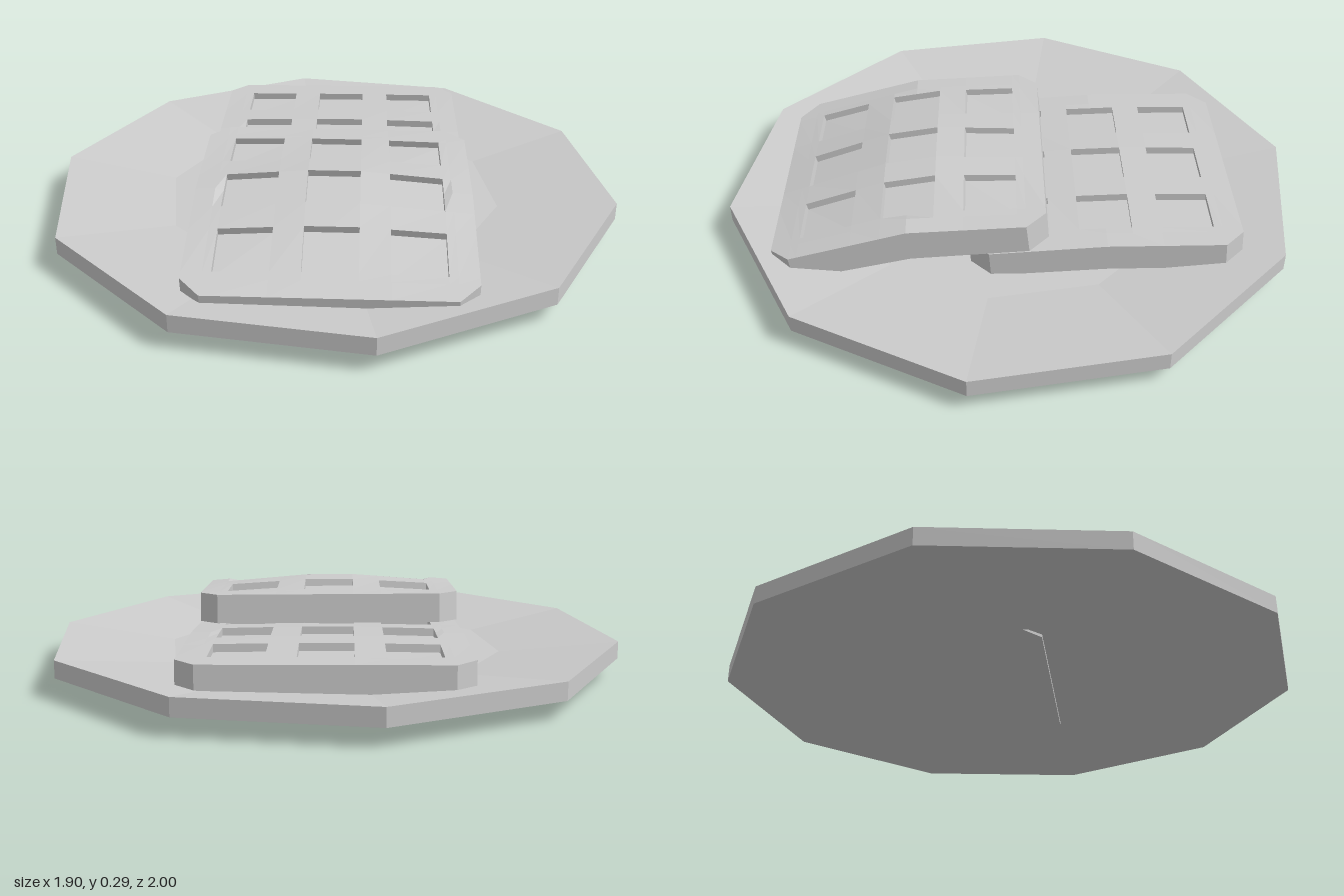
import * as THREE from 'three';

const material = new THREE.MeshStandardMaterial({ color: 0xcccccc, flatShading: true });
const plateMaterial = material.clone();
plateMaterial.side = THREE.DoubleSide;

// Ten-sided shallow plate with a sunken middle, its underside open inside the foot
function makePlate() {
  const profile = [[0.592, 0], [1, 0.06], [1, 0.12], [0.592, 0.07], [0, 0.07]]
    .map(([r, y]) => new THREE.Vector2(r, y));
  const plate = new THREE.Mesh(new THREE.LatheGeometry(profile, 10), plateMaterial);
  plate.name = 'plate';
  return plate;
}

// Height along the length, from three values: start, middle, end
const bend = (h, u) => u < 0
  ? h[1] + (h[0] - h[1]) * (-u / 0.4535)
  : h[1] + (h[2] - h[1]) * (u / 0.4535);

// Falls from 1 across the middle pocket to 0 at the edge
const swell = (t) => 1 - Math.max(0, Math.abs(t) - 0.0875) / 0.366;

// Square waffle slab with clipped corners and nine pockets, bent along its length
function makeWaffle(name, centreU, { top, bottom, bump, tilt, depth, shear }) {
  const cuts = [-0.4535, -0.3875, -0.3595, -0.1845, -0.0875, 0, 0.0875, 0.1845, 0.3595, 0.3875, 0.4535];
  const n = cuts.length - 1;
  const pocketRows = [2, 4, 5, 7];
  const isPocket = (i, j) => pocketRows.includes(i) && pocketRows.includes(j);
  const positions = [];

  // Top height: the middle row of pockets stays flat, only the rim keeps the sharp bend
  const topHeight = (u, v) => {
    const flat = u === 0 && Math.abs(v) < 0.37;
    const base = flat ? (bend(top, -0.0875) + bend(top, 0.0875)) / 2 : bend(top, u);
    return base + bump * swell(u) * swell(v);
  };

  // level: 0 = top surface, 1 = pocket floor, 2 = underside
  const point = (i, j, level) => {
    const u = cuts[i], v = cuts[j];
    const y = level === 2 ? bend(bottom, u) : topHeight(u, v) - level * depth;
    return [u + shear * level / 2, y + tilt * v, v];
  };
  const face = (...p) => {
    for (let k = 1; k < p.length - 1; k++) positions.push(...p[0], ...p[k], ...p[k + 1]);
  };
  // Vertical wall along a-b, from the given lower level up to the top surface
  const wall = (a, b, low) =>
    face(point(...a, low), point(...b, low), point(...b, 0), point(...a, 0));

  for (let i = 0; i < n; i++) {
    for (let j = 0; j < n; j++) {
      // Cell corners, anticlockwise seen from above; clipped at the slab's corners
      let c = [[i, j], [i, j + 1], [i + 1, j + 1], [i + 1, j]];
      if ((i === 0 || i === n - 1) && (j === 0 || j === n - 1)) {
        c = c.filter(([a, b]) => !((a === 0 || a === n) && (b === 0 || b === n)));
      }
      const pocket = isPocket(i, j);
      face(...c.map((p) => point(...p, pocket ? 1 : 0)));
      face(...c.map((p) => point(...p, 2)).reverse());

      // Pocket walls face inwards
      if (pocket) {
        if (!isPocket(i - 1, j)) wall([i, j + 1], [i, j], 1);
        if (!isPocket(i + 1, j)) wall([i + 1, j], [i + 1, j + 1], 1);
        if (!isPocket(i, j - 1)) wall([i, j], [i + 1, j], 1);
        if (!isPocket(i, j + 1)) wall([i + 1, j + 1], [i, j + 1], 1);
      }
    }
  }

  // Outer sides and clipped corners
  for (let k = 1; k < n - 1; k++) {
    wall([0, k], [0, k + 1], 2);
    wall([n, k + 1], [n, k], 2);
    wall([k + 1, 0], [k, 0], 2);
    wall([k, n], [k + 1, n], 2);
  }
  wall([1, 0], [0, 1], 2);
  wall([0, n - 1], [1, n], 2);
  wall([n - 1, n], [n, n - 1], 2);
  wall([n, 1], [n - 1, 0], 2);

  const geometry = new THREE.BufferGeometry();
  geometry.setAttribute('position', new THREE.Float32BufferAttribute(positions, 3));
  geometry.computeVertexNormals();
  const waffle = new THREE.Mesh(geometry, material);
  waffle.name = name;
  waffle.position.set(centreU, 0, 0.015);
  return waffle;
}

export function createModel() {
  const model = new THREE.Group();
  model.name = 'waffles on a plate';
  model.add(makePlate());

  // Both waffles lie along the plate's diagonal
  const waffles = new THREE.Group();
  waffles.name = 'waffles';
  waffles.rotation.y = Math.PI / 4;
  waffles.add(
    makeWaffle('lowerWaffle', 0.3, {
      top: [0.15, 0.18, 0.18], bottom: [0.06, 0.085, 0.085], bump: 0.008, tilt: 0, depth: 0.026, shear: 0.006,
    }),
    makeWaffle('upperWaffle', -0.354, {
      top: [0.131, 0.252, 0.274], bottom: [0.044, 0.145, 0.175], bump: 0.03, tilt: -0.008, depth: 0.024, shear: 0.011,
    }),
  );
  model.add(waffles);
  return model;
}
